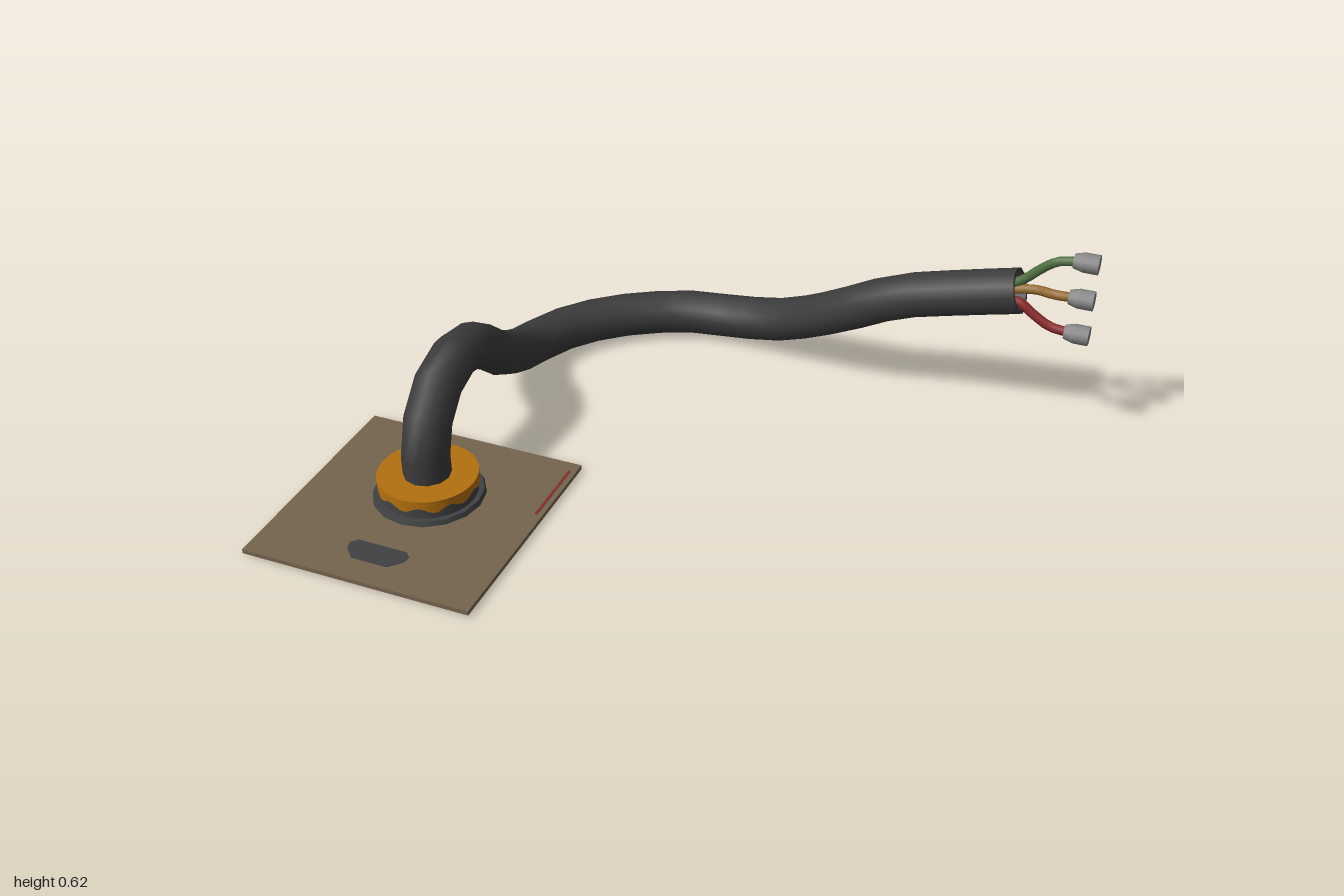
import * as THREE from 'three';

const mat = (name, color, side = THREE.FrontSide) => {
  const m = new THREE.MeshStandardMaterial({ color, side });
  m.name = name;
  return m;
};

export function createModel() {
  const root = new THREE.Group();
  root.name = 'cableOutlet';
  const rubber = mat('darkRubber', 0x3b3b3b, THREE.DoubleSide);
  const brown = mat('brownPlate', 0x75644f);
  const orange = mat('orangeRing', 0xb4700f, THREE.DoubleSide);
  const grey = mat('greyMetal', 0x858585);
  const charcoal = mat('charcoal', 0x404142);
  const green = mat('greenWire', 0x4d6f40);
  const amber = mat('amberWire', 0x94692c);
  const red = mat('redWire', 0x8a2a2a);

  const add = (name, geo, material, x = 0, y = 0, z = 0) => {
    const m = new THREE.Mesh(geo, material);
    m.name = name;
    m.position.set(x, y, z);
    root.add(m);
    return m;
  };
  const path = (pts) => new THREE.CatmullRomCurve3(pts.map((p) => new THREE.Vector3(...p)));

  // Wall plate with its slot and worn edge mark
  add('plate', new THREE.BoxGeometry(0.695, 0.013, 0.7), brown, -0.6525, 0.0115, 0.46);
  const slot = new THREE.Shape([
    [-0.075, 0.035], [0.075, 0.035], [0.092, 0.018], [0.088, -0.005],
    [0.055, -0.04], [-0.055, -0.04], [-0.088, -0.005], [-0.092, 0.018],
  ].map((p) => new THREE.Vector2(...p)));
  const slotGeo = new THREE.ExtrudeGeometry(slot, { depth: 0.016, bevelEnabled: false });
  slotGeo.rotateX(-Math.PI / 2);
  add('slot', slotGeo, charcoal, -0.65, 0.0035, 0.69);
  add('edgeMark', new THREE.BoxGeometry(0.008, 0.002, 0.22), red, -0.325, 0.0185, 0.26);

  // Round gland: underside disc, flared foot, core and scalloped ring
  const cx = -0.652, cz = 0.39;
  add('undersideDisc', new THREE.CylinderGeometry(0.146, 0.146, 0.006, 16), charcoal, cx, 0.003, cz);
  add('glandFoot', new THREE.CylinderGeometry(0.158, 0.163, 0.014, 16), charcoal, cx, 0.025, cz);
  add('glandCore', new THREE.CylinderGeometry(0.138, 0.142, 0.052, 32), charcoal, cx, 0.056, cz);
  const skirt = new THREE.CylinderGeometry(0.145, 0.145, 0.03, 72, 1, true);
  const p = skirt.attributes.position;
  for (let i = 0; i < p.count; i++) {
    if (p.getY(i) < 0) {
      const a = Math.atan2(p.getZ(i), p.getX(i));
      p.setY(i, -0.016 + 0.008 * Math.cos(a * 10));
    }
  }
  add('scallopedRing', skirt, orange, cx, 0.075, cz);
  const top = new THREE.RingGeometry(0.05, 0.145, 72);
  top.rotateX(-Math.PI / 2);
  add('ringTop', top, orange, cx, 0.09, cz);

  // Bent hollow sheath
  const R = 0.069;
  const sheath = path([
    [-0.652, 0.04, 0.39], [-0.652, 0.19, 0.387], [-0.654, 0.28, 0.335],
    [-0.658, 0.338, 0.25], [-0.66, 0.35, 0.16], [-0.664, 0.315, 0.045],
    [-0.674, 0.205, -0.09], [-0.695, 0.105, -0.27], [-0.69, 0.077, -0.375],
    [-0.625, 0.074, -0.51], [-0.51, 0.074, -0.625], [-0.37, 0.074, -0.71],
    [-0.295, 0.075, -0.738], [-0.155, 0.083, -0.748], [0.01, 0.122, -0.722],
    [0.18, 0.215, -0.66], [0.29, 0.285, -0.622], [0.42, 0.355, -0.612],
    [0.58, 0.405, -0.606], [0.785, 0.46, -0.6],
  ]);
  add('sheath', new THREE.TubeGeometry(sheath, 26, R, 12), rubber);
  const rim = add('sheathRim', new THREE.RingGeometry(R - 0.012, R, 12), rubber, ...sheath.getPoint(1).toArray());
  rim.quaternion.setFromUnitVectors(new THREE.Vector3(0, 0, 1), sheath.getTangent(1));

  // Three bare wires with flared metal ends
  const wires = [
    ['green', green, 0.48, 0.595, -0.6],
    ['amber', amber, 0.455, 0.477, -0.615],
    ['red', red, 0.435, 0.36, -0.595],
  ];
  for (const [name, material, y0, y1, z0] of wires) {
    const z1 = -0.588, d = y1 - y0;
    const curve = path([
      [0.66, y0 - 0.03, z0], [0.78, y0 + d * 0.1, z0], [0.835, y0 + d * 0.55, z0 + 0.004],
      [0.885, y0 + d * 0.9, z1], [0.945, y1, z1],
    ]);
    add(name + 'Wire', new THREE.TubeGeometry(curve, 12, 0.0145, 8), material);
    const neck = new THREE.CylinderGeometry(0.029, 0.021, 0.028, 12);
    const cap = new THREE.CylinderGeometry(0.029, 0.029, 0.044, 12);
    neck.rotateZ(-Math.PI / 2);
    cap.rotateZ(-Math.PI / 2);
    add(name + 'CapNeck', neck, grey, 0.942, y1, z1);
    add(name + 'Cap', cap, grey, 0.978, y1, z1);
  }
  return root;
}
